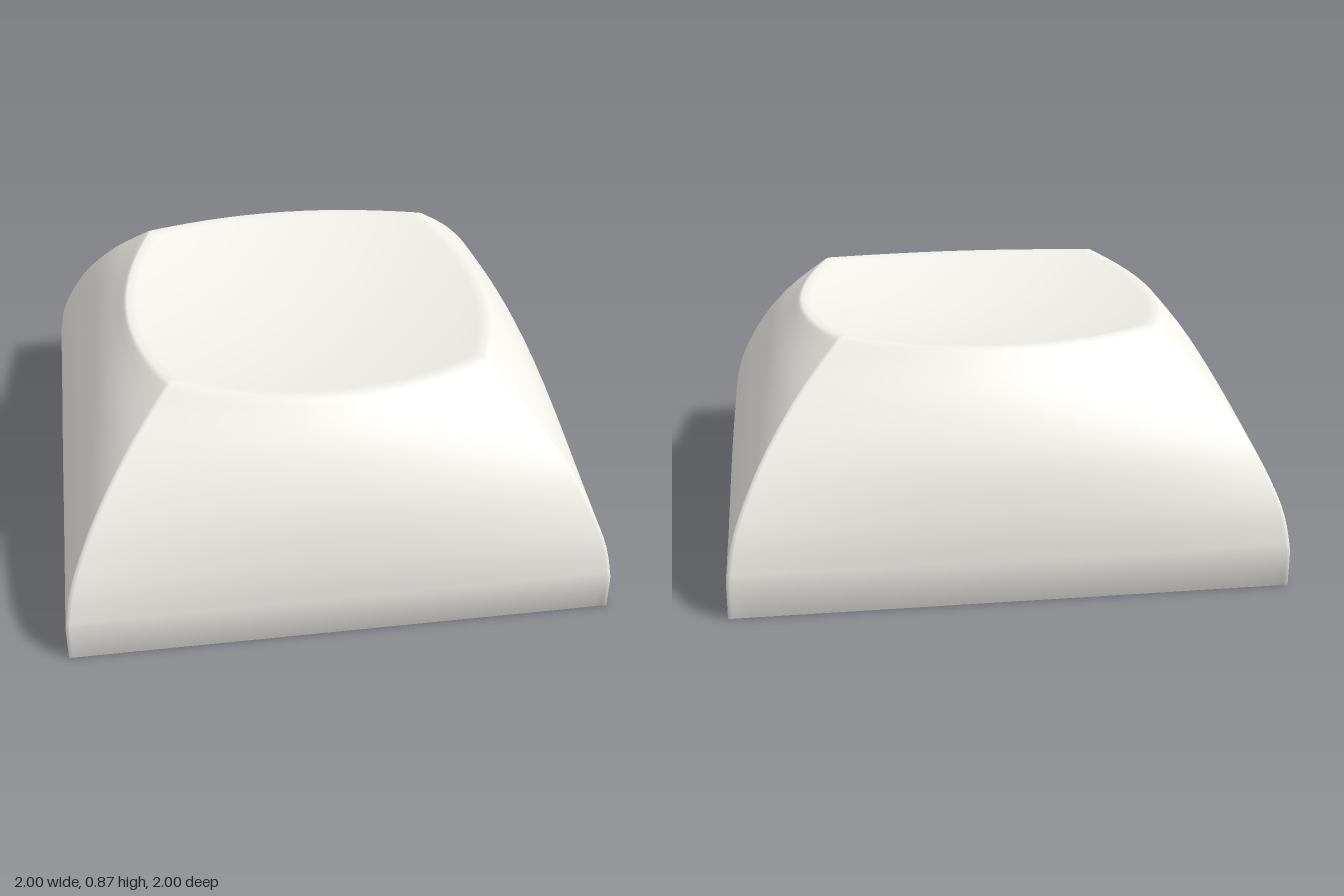
import * as THREE from 'three';
import { toCreasedNormals } from 'three/addons/utils/BufferGeometryUtils.js';

const SEGMENTS = 20; // per side of the square

// One four-sided ring: each side bows from its corners (half width c, height cy)
// out to its middle (distance m, height my). Points gather towards the corners.
function ring({ m, my, c, cy }) {
  const points = [];
  for (let side = 0; side < 4; side++) {
    for (let i = 0; i < SEGMENTS; i++) {
      const u = (2 * i) / SEGMENTS - 1;
      const s = u * (1.5 - 0.5 * u * u);
      const y = my + (cy - my) * s * s;
      let x = s * c;
      let z = m + (c - m) * s * s;
      for (let k = 0; k < side; k++) [x, z] = [z, -x];
      points.push([x, y, z]);
    }
  }
  return points;
}

const square = (half, y) => ring({ m: half, my: y, c: half, cy: y });

// Skin a list of rings into one smooth surface
function loft(rings) {
  const count = rings[0].length;
  const index = [];
  for (let r = 0; r < rings.length - 1; r++) {
    for (let i = 0; i < count; i++) {
      const j = (i + 1) % count;
      const a = r * count + i, b = r * count + j;
      index.push(a, b, b + count, a, b + count, a + count);
    }
  }
  const geometry = new THREE.BufferGeometry();
  geometry.setAttribute('position', new THREE.Float32BufferAttribute(rings.flat(2), 3));
  geometry.setIndex(index);
  geometry.computeVertexNormals();
  return geometry;
}

const curve = (points) => new THREE.SplineCurve(points.map(([x, y]) => new THREE.Vector2(x, y)));

// Hollow underside, bottom rim, bulging sides and dished top in one skin
function shell() {
  // Domed ceiling down to the rim
  const inside = [[0.001, 0.64], [0.3, 0.63], [0.5, 0.58], [0.63, 0.44], [0.73, 0.24], [0.81, 0]];
  const rim = [[0.83, 0], [0.95, 0], [1, 0]];
  const rings = [...inside, ...rim].map(([half, y]) => square(half, y));
  // Sides
  const middle = curve([[1, 0.14], [0.984, 0.3], [0.928, 0.5], [0.825, 0.69], [0.706, 0.837]]);
  const corner = curve([[1, 0.14], [0.967, 0.3], [0.87, 0.51], [0.735, 0.7], [0.58, 0.86]]);
  const steps = 20;
  for (let i = 0; i <= steps; i++) {
    const a = middle.getPoint(i / steps), b = corner.getPoint(i / steps);
    rings.push(ring({ m: a.x, my: a.y, c: b.x, cy: b.y }));
  }
  // Spherical dish
  for (const f of [1, 0.95, 0.85, 0.7, 0.55, 0.4, 0.25, 0.12, 0.001]) {
    const dish = ring({ m: 0.693 * f, my: 0, c: 0.566 * f, cy: 0 });
    rings.push(dish.map(([x, , z]) => [x, 0.785 + 0.133 * (x * x + z * z), z]));
  }
  return loft(rings);
}

// Round post with a cross-shaped socket
function stem() {
  const shape = new THREE.Shape().absarc(0, 0, 0.315, 0, Math.PI * 2);
  const l = 0.25, w = 0.075;
  const cross = [];
  let quarter = [[l, -w], [l, w], [w, w]];
  for (let k = 0; k < 4; k++) {
    cross.push(...quarter.map(([x, y]) => new THREE.Vector2(x, y)));
    quarter = quarter.map(([x, y]) => [-y, x]);
  }
  shape.holes.push(new THREE.Path(cross));
  const geometry = new THREE.ExtrudeGeometry(shape, { depth: 0.65, bevelEnabled: false, curveSegments: 48 });
  geometry.rotateX(-Math.PI / 2);
  return toCreasedNormals(geometry, 0.5);
}

export function createModel() {
  const group = new THREE.Group();
  group.name = 'keycap';
  const material = new THREE.MeshStandardMaterial({ color: 0xf4f2ec });
  for (const [name, geometry] of Object.entries({ shell: shell(), stem: stem() })) {
    const mesh = new THREE.Mesh(geometry, material);
    mesh.name = name;
    group.add(mesh);
  }
  return group;
}
